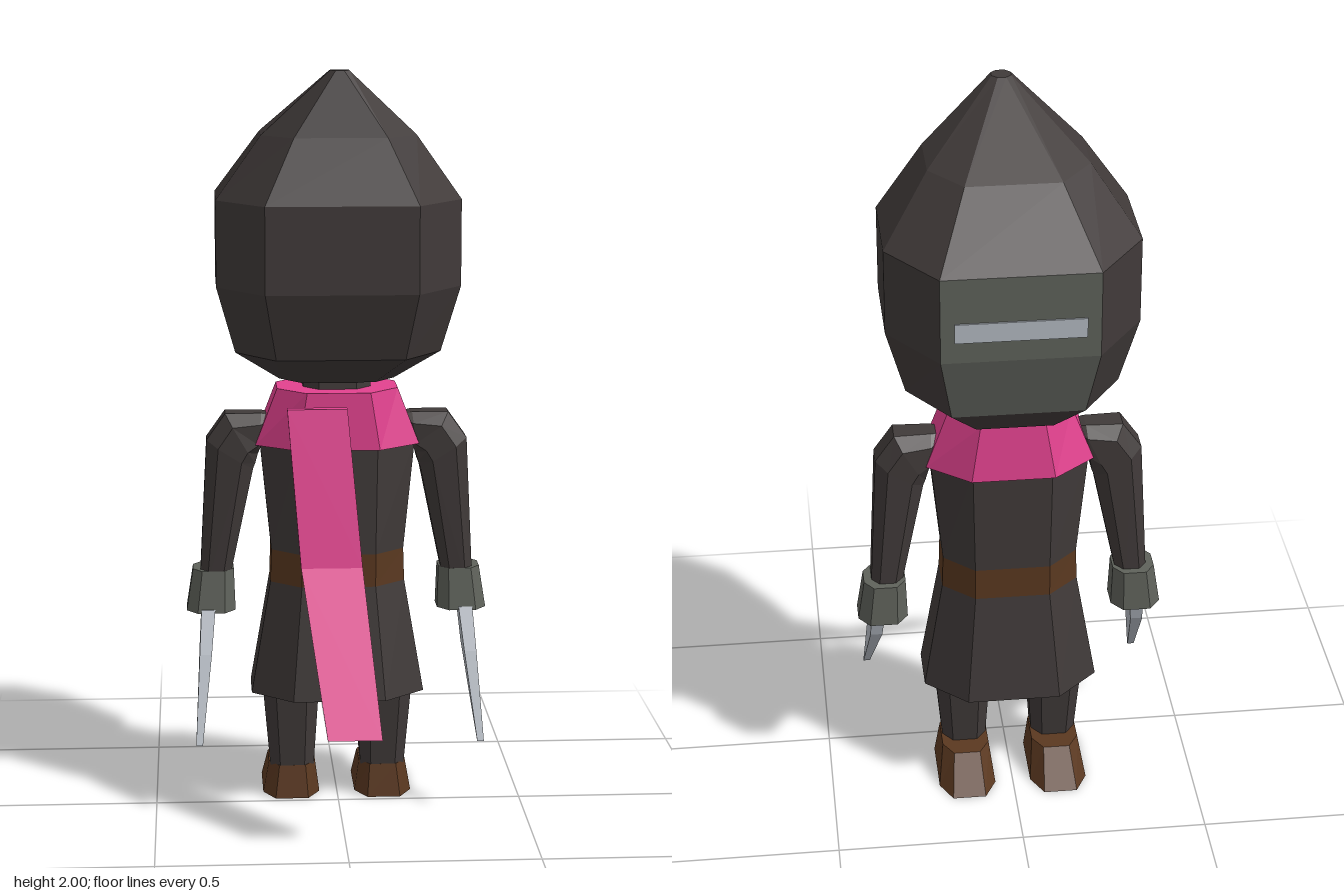
import * as THREE from 'three';

const mat = (name, color, flat = true) => {
  const m = new THREE.MeshStandardMaterial({ color, flatShading: flat });
  m.name = name;
  return m;
};

// Eight-sided horizontal ring: half sizes hx, hz with corner offsets kx, kz
function oct(y, cx, cz, hx, hz, kx = hx * 0.55, kz = hz * 0.45) {
  return [[kx, hz], [hx, kz], [hx, -kz], [kx, -hz], [-kx, -hz], [-hx, -kz], [-hx, kz], [-kx, hz]]
    .map(([x, z]) => new THREE.Vector3(cx + x, y, cz + z));
}

// Eight-sided ring spanning two points in the x-y plane, with depth along z
function limbRing(ax, ay, bx, by, cz, d) {
  return oct(0, 0, 0, 1, d, 0.5, d * 0.5).map((p) => new THREE.Vector3(
    (ax + bx) / 2 + p.x * (ax - bx) / 2, (ay + by) / 2 + p.x * (ay - by) / 2, cz + p.z));
}

// Flat rectangle ring with x and z ranges at height y
const rect = (y, x0, x1, z0, z1) => [[x0, z0], [x0, z1], [x1, z1], [x1, z0]]
  .map(([x, z]) => new THREE.Vector3(x, y, z));

// Skin rings into a closed solid; accent(level, side) marks faces for the second material
function loft(rings, accent = () => false) {
  const tris = [[], []];
  const n = rings[0].length;
  for (let i = 0; i < rings.length - 1; i++) {
    for (let j = 0; j < n; j++) {
      const k = (j + 1) % n;
      const a = rings[i][j], b = rings[i][k], c = rings[i + 1][k], d = rings[i + 1][j];
      tris[accent(i, j) ? 1 : 0].push([a, b, c], [a, c, d]);
    }
  }
  const last = rings[rings.length - 1];
  for (let j = 1; j < n - 1; j++) {
    tris[0].push([rings[0][0], rings[0][j + 1], rings[0][j]], [last[0], last[j], last[j + 1]]);
  }
  // Turn the faces outward whichever way the rings run
  const volume = tris.flat().reduce((s, [a, b, c]) => s + a.dot(b.clone().cross(c)), 0);
  const order = volume < 0 ? [0, 2, 1] : [0, 1, 2];
  const points = tris.flat().flatMap((t) => order.map((i) => t[i]));
  const geo = new THREE.BufferGeometry().setFromPoints(points);
  geo.addGroup(0, tris[0].length * 3, 0);
  if (tris[1].length) geo.addGroup(tris[0].length * 3, tris[1].length * 3, 1);
  geo.computeVertexNormals();
  return geo;
}

export function createModel() {
  const model = new THREE.Group();
  const cloth = mat('dark cloth', 0x403a39);
  const pink = mat('pink scarf', 0xe2428f);
  const leather = mat('brown leather', 0x5a3820);
  const armour = mat('grey armour', 0x5f625b);
  const steel = mat('pale steel', 0xb4bac2);

  const add = (name, geo, material, parent = model) => {
    const mesh = new THREE.Mesh(geo, material);
    mesh.name = name;
    parent.add(mesh);
    return mesh;
  };

  // Pointed hood with a grey mask on its -z side
  add('hood', loft([
    oct(1.165, 0, -0.153, 0.155, 0.133, 0.1, 0.06),
    oct(1.25, 0, -0.115, 0.275, 0.25, 0.17, 0.1),
    oct(1.43, 0, -0.107, 0.325, 0.303, 0.2, 0.128),
    oct(1.66, 0, -0.107, 0.325, 0.303, 0.2, 0.128),
    oct(1.83, 0, -0.06, 0.205, 0.187, 0.122, 0.08),
    oct(2.0, 0, 0.048, 0.025, 0.025, 0.011, 0.011),
  ], (level, side) => side === 3 && (level === 1 || level === 2)), [cloth, armour]);
  const slit = add('eyeSlit', new THREE.BoxGeometry(0.33, 0.052, 0.008), steel);
  slit.position.set(0, 1.513, -0.411);

  add('neck', loft([oct(1.0, 0, -0.11, 0.1, 0.09), oct(1.18, 0, -0.12, 0.09, 0.09)]), cloth);

  // Scarf collar and two-part trailing tail
  add('scarfCollar', loft([
    oct(0.99, 0, -0.11, 0.222, 0.15, 0.11, 0.06),
    oct(1.145, 0, -0.105, 0.163, 0.14, 0.085, 0.055),
  ]), pink);
  add('scarfTail', loft([
    rect(1.11, -0.14, 0.02, 0.052, 0.08),
    rect(0.7, -0.108, 0.055, 0.145, 0.175),
    rect(0.3, -0.05, 0.092, 0.39, 0.418),
  ]), pink);

  // Tunic, belt and flared skirt
  const waistTop = oct(0.7, 0, -0.107, 0.18, 0.13, 0.1, 0.055);
  const waistBottom = oct(0.61, 0, -0.107, 0.183, 0.13, 0.1, 0.055);
  add('tunic', loft([waistTop, oct(1.0, 0, -0.107, 0.21, 0.132, 0.105, 0.055)]), cloth);
  add('belt', loft([waistBottom, waistTop]), leather);
  add('skirt', loft([oct(0.3, 0, -0.107, 0.236, 0.172, 0.125, 0.07), waistBottom]), cloth);

  for (const [label, s] of [['left', 1], ['right', -1]]) {
    const arm = new THREE.Group();
    arm.name = label + 'Arm';
    model.add(arm);
    // Sleeve bending over the shoulder
    add('sleeve', loft([
      limbRing(s * 0.165, 1.065, s * 0.175, 1.05, -0.11, 0.03),
      limbRing(s * 0.205, 1.072, s * 0.215, 0.96, -0.11, 0.055),
      limbRing(s * 0.303, 1.072, s * 0.222, 0.935, -0.11, 0.063),
      limbRing(s * 0.354, 1.0, s * 0.228, 0.92, -0.11, 0.063),
      limbRing(s * 0.375, 0.6, s * 0.295, 0.6, -0.125, 0.05),
    ]), cloth, arm);
    add('gauntlet', loft([
      oct(0.52, s * 0.345, -0.13, 0.067, 0.073),
      oct(0.635, s * 0.338, -0.134, 0.056, 0.062),
    ]), armour, arm);
    // Claw blade sweeping towards +z
    add('blade', loft([
      rect(0.53, s * 0.334, s * 0.372, -0.13, -0.055),
      rect(0.42, s * 0.345, s * 0.378, -0.1, 0.005),
      rect(0.195, s * 0.372, s * 0.39, 0.098, 0.105),
    ]), steel, arm);

    const leg = new THREE.Group();
    leg.name = label + 'Leg';
    model.add(leg);
    add('trouser', loft([
      oct(0.08, s * 0.125, -0.1, 0.06, 0.065),
      oct(0.33, s * 0.128, -0.1, 0.079, 0.087),
    ]), cloth, leg);
    add('boot', loft([
      oct(0, s * 0.127, -0.165, 0.078, 0.147, 0.045, 0.085),
      oct(0.09, s * 0.125, -0.13, 0.064, 0.096, 0.036, 0.05),
    ]), leather, leg);
  }
  return model;
}
